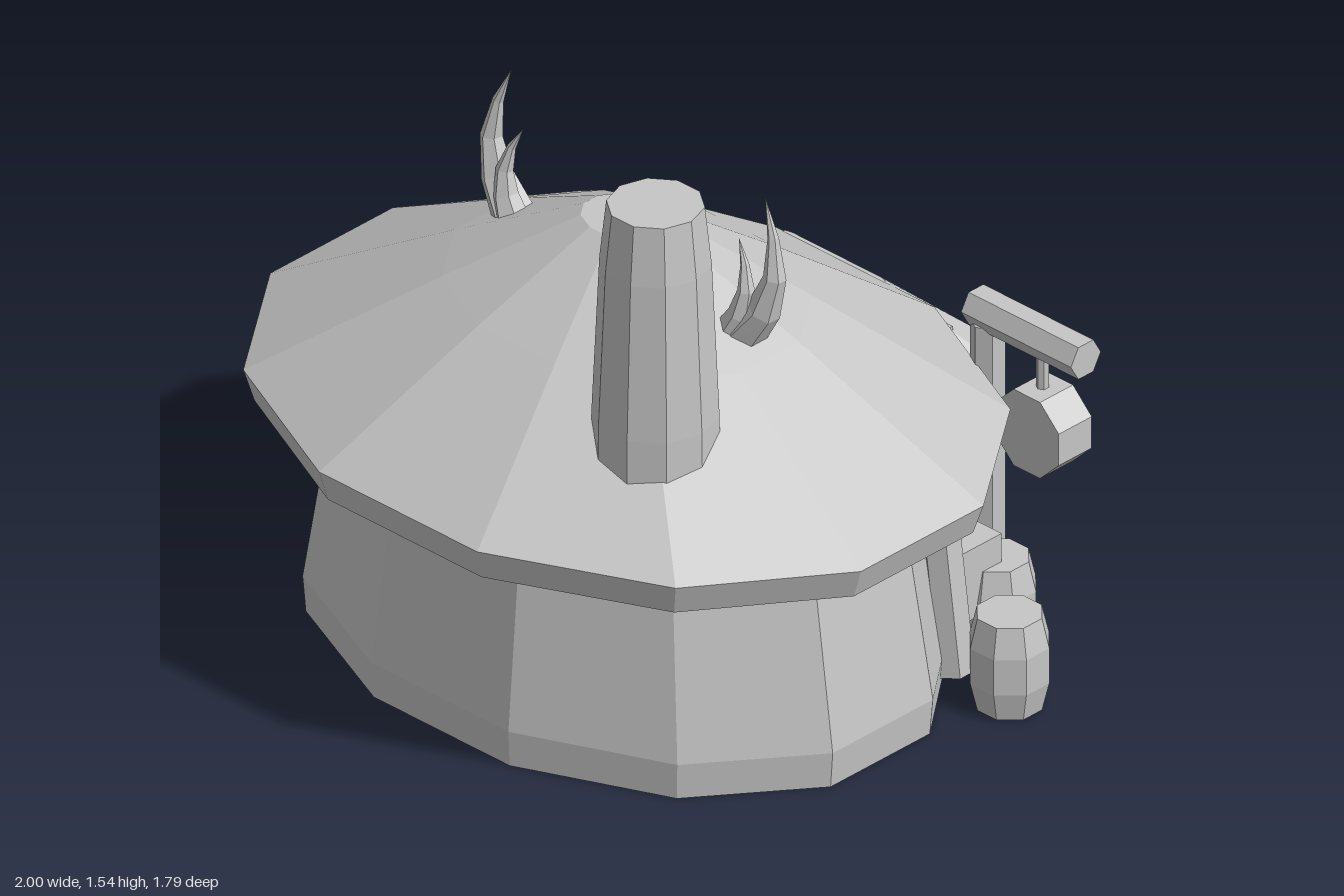
import * as THREE from 'three';

const stone = new THREE.MeshStandardMaterial({ color: 0xc6c6c6, flatShading: true, side: THREE.DoubleSide });
stone.name = 'plain grey';

export function createModel() {
  const hut = new THREE.Group();
  hut.name = 'hut';

  const add = (name, geometry, x = 0, y = 0, z = 0) => {
    const mesh = new THREE.Mesh(geometry, stone);
    mesh.name = name;
    mesh.position.set(x, y, z);
    hut.add(mesh);
    return mesh;
  };
  // Box given by its min and max along each axis
  const box = (name, x0, x1, y0, y1, z0, z1) =>
    add(name, new THREE.BoxGeometry(x1 - x0, y1 - y0, z1 - z0), (x0 + x1) / 2, (y0 + y1) / 2, (z0 + z1) / 2);
  // Faceted turned shape from [radius, height] pairs
  const turned = (points, sides, start = 0) =>
    new THREE.LatheGeometry(points.map(([r, y]) => new THREE.Vector2(r, y)), sides, start);
  // Straight pole between two points
  const pole = (name, a, b, r, sides = 6) => {
    const from = new THREE.Vector3(...a), to = new THREE.Vector3(...b);
    const dir = to.clone().sub(from);
    const mesh = add(name, new THREE.CylinderGeometry(r, r, dir.length(), sides));
    mesh.position.copy(from).add(to).multiplyScalar(0.5);
    mesh.quaternion.setFromUnitVectors(new THREE.Vector3(0, 1, 0), dir.normalize());
  };

  // Twelve-sided oval walls reaching up under the roof, both open below
  const midZ = 0.095, turn = Math.PI / 12;
  add('walls', turned([[0.888, 0], [0.897, 0.1], [0.774, 0.82]], 12, turn).scale(1, 1, 0.752), 0, 0, midZ);
  add('roof', turned([[1.005, 0.605], [1.035, 0.69], [0.5, 0.985], [0.125, 1.18], [0, 1.18]], 12, turn)
    .scale(1, 1, 0.797), 0, 0, midZ);

  // Chimney running down to the ground, open below
  add('chimney', turned([[0.155, 0], [0.166, 0.08], [0.157, 0.95], [0.138, 1.38], [0.121, 1.54], [0, 1.54]], 10, Math.PI / 10),
    0.418, 0, 0.425);

  // Curved roof horns, a tall and a short prong on each side
  const horn = (name, points, radius) => {
    const steps = 4, sides = 6;
    const curve = new THREE.CatmullRomCurve3(points.map((p) => new THREE.Vector3(...p)));
    const geometry = new THREE.TubeGeometry(curve, steps, radius, sides);
    const pos = geometry.attributes.position, v = new THREE.Vector3();
    for (let i = 0; i < pos.count; i++) {
      const t = Math.floor(i / (sides + 1)) / steps;
      const centre = curve.getPointAt(t);
      v.fromBufferAttribute(pos, i).sub(centre).multiplyScalar(1 - t).add(centre);
      pos.setXYZ(i, v.x, v.y, v.z);
    }
    add(name, geometry);
  };
  for (const s of [-1, 1]) {
    horn('tallHorn', [[s * 0.39, 1.02, 0.088], [s * 0.46, 1.12, 0.08], [s * 0.48, 1.24, 0.07], [s * 0.43, 1.4, 0.055]], 0.058);
    horn('shortHorn', [[s * 0.37, 1.02, 0.11], [s * 0.405, 1.1, 0.105], [s * 0.405, 1.18, 0.095], [s * 0.365, 1.27, 0.08]], 0.045);
    // Poles leaning on the walls
    pole('wallPole', [s * 0.75, 0.05, -0.275], [s * 0.685, 0.66, -0.26], 0.052);
  }
  box('wallBox', -0.57, -0.4, 0.14, 0.34, -0.47, -0.3);
  box('barrelCrate', 0.57, 0.72, 0.14, 0.34, -0.47, -0.3);

  // Porch roof: chamfered rectangles rising to a narrow ridge, open below
  const porchX = -0.062;
  const ring = (hx, hz, cx, cz, y) => [
    [hx, hz - cz], [hx, cz - hz], [hx - cx, -hz], [cx - hx, -hz],
    [-hx, cz - hz], [-hx, hz - cz], [cx - hx, hz], [hx - cx, hz],
  ].map(([x, z]) => [x, y, z]);
  const rings = [
    ring(0.405, 0.195, 0.09, 0.08, 0.5), ring(0.42, 0.208, 0.09, 0.08, 0.52),
    ring(0.17, 0.01, 0.02, 0.005, 0.7), ring(0, 0, 0, 0, 0.7),
  ];
  const index = [];
  for (let k = 0; k < rings.length - 1; k++) {
    for (let i = 0; i < 8; i++) {
      const a = k * 8 + i, b = k * 8 + (i + 1) % 8;
      index.push(a, b, a + 8, b, b + 8, a + 8);
    }
  }
  const porch = new THREE.BufferGeometry();
  porch.setAttribute('position', new THREE.Float32BufferAttribute(rings.flat(2), 3));
  porch.setIndex(index);
  porch.computeVertexNormals();
  add('porchRoof', porch, porchX, 0, -0.69);

  // Porch posts, lintel and door
  for (const s of [-1, 1]) {
    const p = porchX + s * 0.27;
    box('porchPost', p - 0.05, p + 0.05, 0, 0.6, -0.775, -0.675);
  }
  box('porchLintel', porchX - 0.397, porchX + 0.397, 0.535, 0.63, -0.705, -0.4);
  box('door', porchX - 0.27, porchX + 0.27, 0, 0.54, -0.6, -0.48);
  box('doorKnob', -0.105, -0.075, 0.27, 0.3, -0.625, -0.595);

  // Hanging sign on its post and arm
  const signZ = -0.617;
  pole('signPost', [0.53, 0.015, signZ], [0.53, 0.8, signZ], 0.044);
  pole('signArm', [0.49, 0.83, signZ], [0.862, 0.83, signZ], 0.052);
  pole('signHanger', [0.715, 0.66, signZ], [0.715, 0.8, signZ], 0.016);
  const disc = add('signDisc', new THREE.CylinderGeometry(0.117, 0.117, 0.115, 8, 1, false, Math.PI / 8), 0.718, 0.583, signZ);
  disc.rotation.x = Math.PI / 2;

  // Barrels beside the wall
  for (const [x, z] of [[0.897, -0.315], [0.69, -0.482]]) {
    add('barrel', turned([[0, 0], [0.085, 0], [0.104, 0.08], [0.104, 0.18], [0.085, 0.26], [0, 0.26]], 8, Math.PI / 8), x, 0, z);
  }
  return hut;
}
